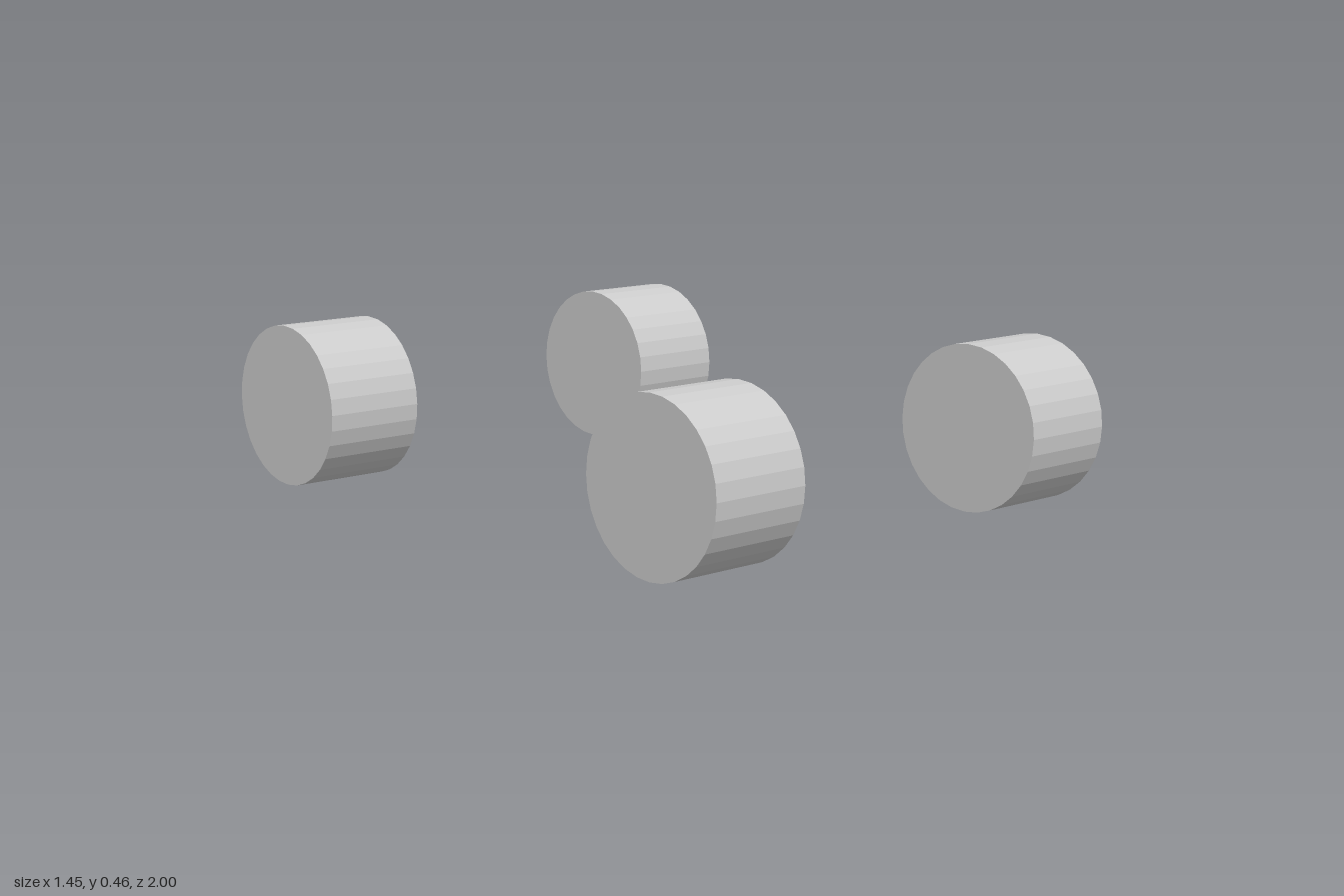
import * as THREE from 'three';

const RADIUS = 0.23, WIDTH = 0.293, HALF_TRACK = 0.578, HALF_BASE = 0.77;

export function createModel() {
  const model = new THREE.Group();
  model.name = 'wheelSet';
  const material = new THREE.MeshStandardMaterial({ color: 0xcccccc, flatShading: true });

  // Solid 32-sided wheel with its axle along x
  const wheelGeometry = new THREE.CylinderGeometry(RADIUS, RADIUS, WIDTH, 32).rotateZ(Math.PI / 2);

  // One wheel at each corner, resting on the ground
  for (const [end, z] of [['front', HALF_BASE], ['rear', -HALF_BASE]]) {
    for (const [side, x] of [['Left', HALF_TRACK], ['Right', -HALF_TRACK]]) {
      const wheel = new THREE.Mesh(wheelGeometry, material);
      wheel.name = `${end}${side}Wheel`;
      wheel.position.set(x, RADIUS, z);
      model.add(wheel);
    }
  }
  return model;
}
